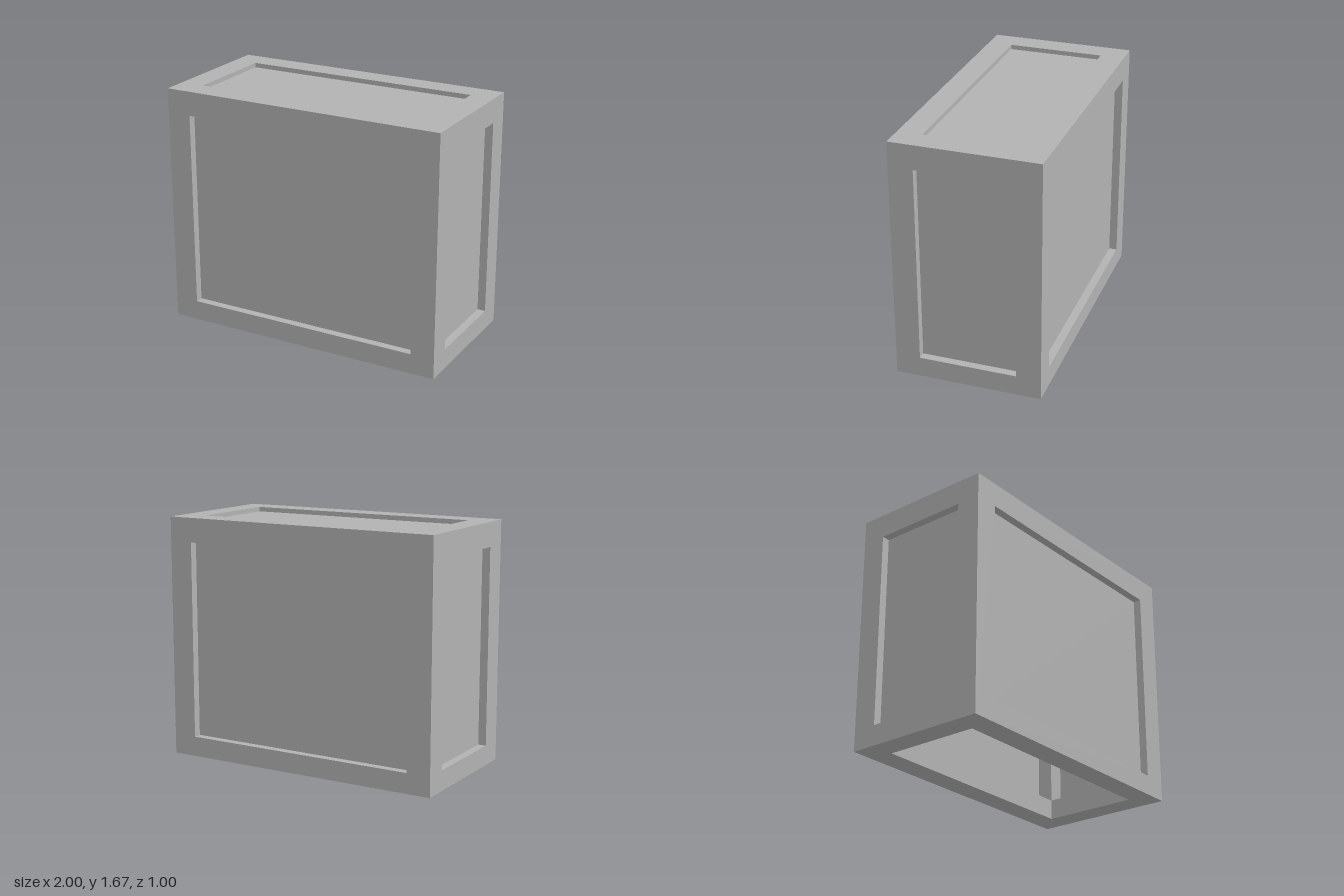
import * as THREE from 'three';
import { mergeGeometries } from 'three/addons/utils/BufferGeometryUtils.js';

const W = 2, H = 1.667, D = 1;            // overall size
const BEAM = 0.167, BASE = 0.139;         // beam width, lower beam height

// One face of the frame: a flat ring and the four walls of its opening
function frameFace(w, h, bottom, depth) {
  const x = w / 2 - BEAM, y0 = -h / 2 + bottom, y1 = h / 2 - BEAM;
  const hole = [[-x, y0], [x, y0], [x, y1], [-x, y1]].map(p => new THREE.Vector2(...p));
  const outer = [[-1, -1], [1, -1], [1, 1], [-1, 1]]
    .map(([a, b]) => new THREE.Vector2(a * w / 2, b * h / 2));
  const shape = new THREE.Shape(outer);
  shape.holes.push(new THREE.Path(hole));
  const ring = new THREE.ShapeGeometry(shape).toNonIndexed();
  ring.deleteAttribute('uv');

  const pos = [];
  hole.forEach((a, i) => {
    const b = hole[(i + 1) % 4];
    const q = [[a.x, a.y, 0], [b.x, b.y, 0], [b.x, b.y, -depth], [a.x, a.y, -depth]];
    for (const k of [0, 1, 2, 0, 2, 3]) pos.push(...q[k]);
  });
  const walls = new THREE.BufferGeometry();
  walls.setAttribute('position', new THREE.Float32BufferAttribute(pos, 3));
  walls.computeVertexNormals();
  return mergeGeometries([ring, walls]);
}

export function createModel() {
  const group = new THREE.Group();
  const grey = new THREE.MeshStandardMaterial({ color: 0xb2b2b2 });
  grey.name = 'grey';
  grey.side = THREE.DoubleSide;

  // name, width, height, distance from centre, turn about x, turn about y, panel recess
  const sides = [
    ['front', W, H, D / 2, 0, 0, 0.056],
    ['back', W, H, D / 2, 0, Math.PI, 0.056],
    ['left', D, H, W / 2, 0, Math.PI / 2, 0.056],
    ['right', D, H, W / 2, 0, -Math.PI / 2, 0.056],
    ['top', W, D, H / 2, -Math.PI / 2, 0, 0.032],
    ['bottom', W, D, H / 2, Math.PI / 2, 0, null],   // open underneath
  ];

  for (const [name, w, h, dist, rx, ry, recess] of sides) {
    const upright = rx === 0;
    const bottom = upright ? BASE : BEAM;
    const place = (geo) => geo.translate(0, 0, dist).rotateX(rx).rotateY(ry).translate(0, H / 2, 0);

    const frame = new THREE.Mesh(
      place(frameFace(w, h, bottom, name === 'bottom' ? BASE : BEAM)), grey);
    frame.name = name + 'Frame';
    group.add(frame);

    // Thin panel set back in the opening
    if (recess !== null) {
      const geo = new THREE.PlaneGeometry(w - 2 * BEAM, h - BEAM - bottom);
      geo.translate(0, (bottom - BEAM) / 2, -recess);
      const panel = new THREE.Mesh(place(geo), grey);
      panel.name = name + 'Panel';
      group.add(panel);
    }
  }
  return group;
}
